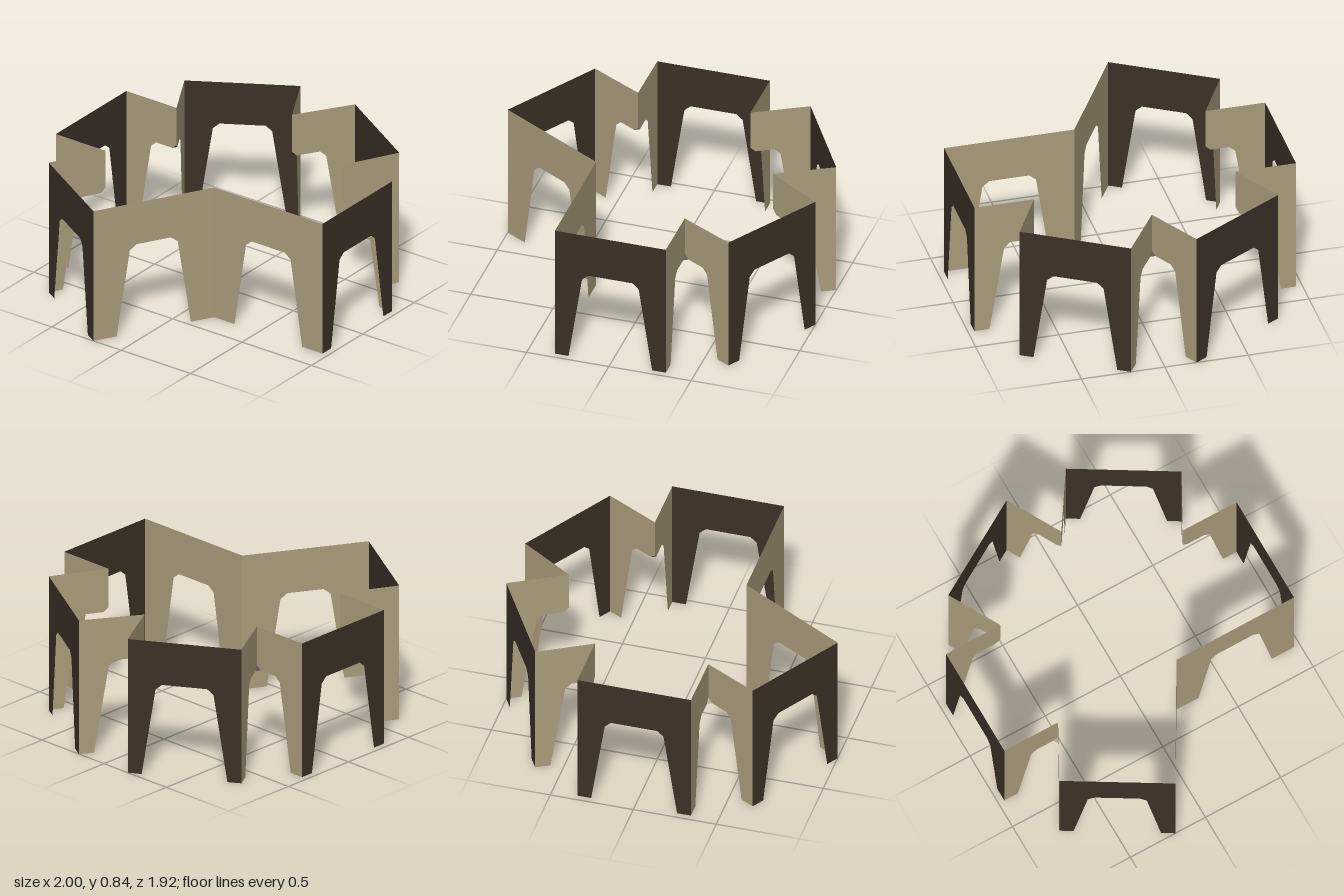
import * as THREE from 'three';

const H = 0.842;      // panel height
const ARCH = 0.573;   // underside of the arches
const SHOULDER = 0.54;

export function createModel() {
  const group = new THREE.Group();
  group.name = 'panelRing';
  const dark = new THREE.MeshStandardMaterial({ color: 0x3c3026, side: THREE.DoubleSide });
  dark.name = 'dark brown';
  const tan = new THREE.MeshStandardMaterial({ color: 0xaa9c7b, side: THREE.DoubleSide });
  tan.name = 'tan';

  // Stand a flat outline upright on the plan line from a to b ([x, z] points)
  function stand(name, outline, a, b, material) {
    const shape = new THREE.Shape(outline.map(([x, y]) => new THREE.Vector2(x, y)));
    const mesh = new THREE.Mesh(new THREE.ShapeGeometry(shape), material);
    mesh.name = name;
    mesh.position.set(a[0], 0, a[1]);
    mesh.rotation.y = -Math.atan2(b[1] - a[1], b[0] - a[0]);
    group.add(mesh);
  }
  const span = (a, b) => Math.hypot(b[0] - a[0], b[1] - a[1]);

  // Panel with a leg at each end; insets of the opening at foot, shoulder and top
  function archPanel(name, a, b, [foot, mid, top], material) {
    const L = span(a, b);
    stand(name, [
      [0, 0], [foot, 0], [mid, SHOULDER], [top, ARCH],
      [L - top, ARCH], [L - mid, SHOULDER], [L - foot, 0], [L, 0], [L, H], [0, H],
    ], a, b, material);
  }

  // Panel with a single leg at its outer end, notched at the inner corner
  function halfArchPanel(name, outer, inner) {
    const L = span(outer, inner);
    stand(name, [
      [0, 0], [0.09, 0], [0.178, SHOULDER], [0.215, ARCH],
      [L - 0.03, ARCH], [L, 0.6], [L, H], [0, H],
    ], outer, inner, tan);
  }

  // Outer panels, in order around the ring
  const panels = [
    ['frontPanel', [-0.34, 0.962], [0.334, 0.962]],
    ['frontLeftPanel', [0.655, 0.777], [1, 0.203]],
    ['backLeftPanel', [1, -0.19], [0.657, -0.772]],
    ['backPanel', [0.348, -0.962], [-0.336, -0.962]],
    ['backRightPanel', [-0.655, -0.777], [-1, -0.2]],
  ];
  for (const [name, a, b] of panels) archPanel(name, a, b, [0.083, 0.165, 0.203], dark);

  // Inward folds between neighbouring panels, each with a small corner gusset
  const folds = [[0.335, 0.605], [0.675, -0.01], [0.348, -0.6], [-0.338, -0.605]];
  folds.forEach((apex, i) => {
    const a = panels[i][2], b = panels[i + 1][1];
    halfArchPanel('foldPanel', a, apex);
    halfArchPanel('foldPanel', b, apex);
    const low = [a, b].map((p) => {
      const t = 0.03 / span(p, apex);
      return new THREE.Vector3(apex[0] + (p[0] - apex[0]) * t, ARCH, apex[1] + (p[1] - apex[1]) * t);
    });
    const geo = new THREE.BufferGeometry().setFromPoints(
      [new THREE.Vector3(apex[0], 0.6, apex[1]), low[1], low[0]]);
    geo.computeVertexNormals();
    const gusset = new THREE.Mesh(geo, i === 3 ? tan : dark);
    gusset.name = 'foldGusset';
    group.add(gusset);
  });

  // Deep fold on the open side, made of two wide arched panels
  const deep = [-0.34, 0.181];
  const wide = [0.147, 0.23, 0.272];
  archPanel('deepFoldPanelFront', panels[0][1], deep, wide, tan);
  archPanel('deepFoldPanelBack', panels[4][2], deep, wide, tan);

  return group;
}
